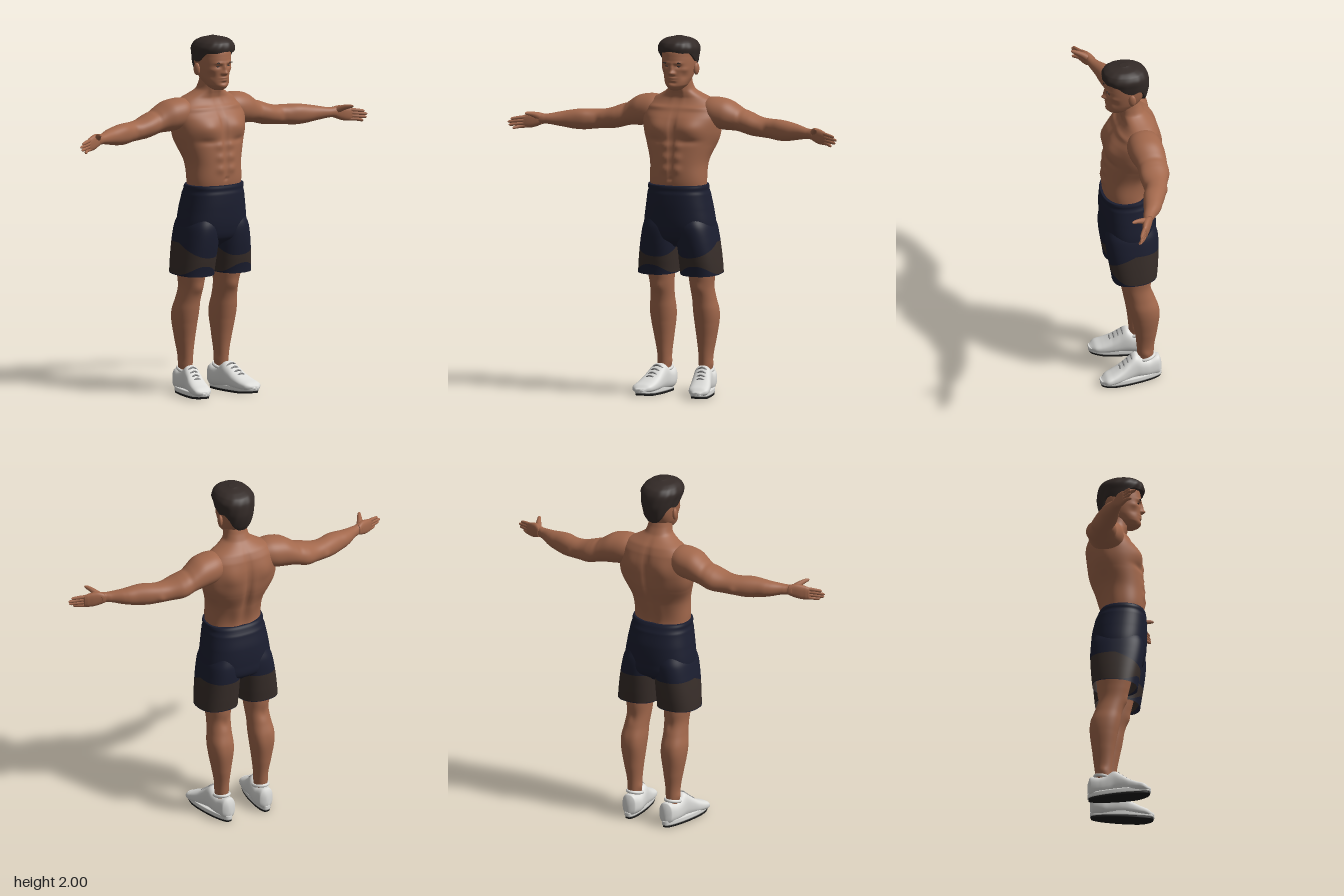
import * as THREE from 'three';

const mat = (name, color) => new THREE.MeshStandardMaterial({ name, color, side: THREE.DoubleSide });

// Value of a table of cross-sections [t, a0, a1, b0, b1] at t, smoothly interpolated
function at(rows, t) {
  let i = 0;
  while (i < rows.length - 2 && t > rows[i + 1][0]) i++;
  const b = rows[i], c = rows[i + 1], a = rows[i - 1] || b, d = rows[i + 2] || c;
  const k = THREE.MathUtils.clamp((t - b[0]) / (c[0] - b[0]), 0, 1);
  return b.map((_, j) => 0.5 * (2 * b[j] + (c[j] - a[j]) * k + (2 * a[j] - 5 * b[j] + 4 * c[j] - d[j]) * k * k
    + (3 * b[j] - a[j] - 3 * c[j] + d[j]) * k * k * k));
}
const sym = rows => rows.map(([t, a0, a1, h]) => [t, a0, a1, -h, h]);

// Superellipse point of a section at angle u
function ring(r, u, p = 2) {
  const f = v => Math.sign(v) * Math.abs(v) ** (2 / p);
  return [(r[1] + r[2]) / 2 + (r[2] - r[1]) / 2 * f(Math.cos(u)), (r[3] + r[4]) / 2 + (r[4] - r[3]) / 2 * f(Math.sin(u))];
}

// Closed-loop grid from f(u, v); always wound outwards
function grid(f, nu, nv, caps = true) {
  const pos = [], idx = [];
  for (let j = 0; j <= nv; j++) for (let i = 0; i < nu; i++) pos.push(...f(i / nu * Math.PI * 2, j / nv));
  for (let j = 0; j < nv; j++) for (let i = 0; i < nu; i++) {
    const a = j * nu + i, b = j * nu + (i + 1) % nu;
    idx.push(a, b, a + nu, b, b + nu, a + nu);
  }
  if (caps) for (const j of [0, nv]) {
    const c = [0, 0, 0], n = pos.length / 3;
    for (let i = 0; i < nu; i++) for (let k = 0; k < 3; k++) c[k] += pos[(j * nu + i) * 3 + k] / nu;
    pos.push(...c);
    for (let i = 0; i < nu; i++) {
      const a = j * nu + i, b = j * nu + (i + 1) % nu;
      idx.push(...(j ? [a, b, n] : [b, a, n]));
    }
  }
  const P = i => new THREE.Vector3().fromArray(pos, i * 3), mid = new THREE.Vector3();
  for (let i = 0; i < pos.length / 3; i++) mid.addScaledVector(P(i), 3 / pos.length);
  let vol = 0;
  for (let i = 0; i < idx.length; i += 3) {
    const [a, b, c] = [0, 1, 2].map(k => P(idx[i + k]).sub(mid));
    vol += a.dot(b.cross(c));
  }
  if (vol < 0) idx.reverse();
  const g = new THREE.BufferGeometry();
  g.setAttribute('position', new THREE.Float32BufferAttribute(pos, 3));
  g.setIndex(idx);
  g.computeVertexNormals();
  return g;
}

// Loft along one axis: 'y' gives (x, z) sections, 'z' gives (x, y), 'x' gives (y, z)
function loft(rows, axis, s = 1, p = 2, nu = 40, nv = 50) {
  const t0 = rows[0][0], t1 = rows[rows.length - 1][0];
  return grid((u, v) => {
    const t = t0 + (t1 - t0) * v, [a, b] = ring(at(rows, t), u, p);
    return axis === 'y' ? [a, t, s * b] : axis === 'z' ? [a, b, s * t] : [t, a, s * b];
  }, nu, nv);
}

// Muscle and face forms: soft bumps [x, y, z, rx, ry, rz, height] pushed along the normals
function sculpt(g, bumps, sides = [1, -1]) {
  const p = g.attributes.position, n = g.attributes.normal;
  const all = bumps.flatMap(b => (b[2] === 0 ? [1] : sides).map(s => [b[0], b[1], b[2] * s, ...b.slice(3)]));
  for (let i = 0; i < p.count; i++) {
    const q = [p.getX(i), p.getY(i), p.getZ(i)];
    let h = 0;
    for (const b of all) h += b[6] * Math.exp(-q.reduce((e, v, k) => e + ((v - b[k]) / b[k + 3]) ** 2, 0));
    p.setXYZ(i, q[0] + n.getX(i) * h, q[1] + n.getY(i) * h, q[2] + n.getZ(i) * h);
  }
  g.computeVertexNormals();
  return g;
}

// Round-ended tapering tube
function finger(pts, r0, r1, s) {
  const curve = new THREE.CatmullRomCurve3(pts.map(p => new THREE.Vector3(p[0], p[1], p[2] * s)));
  const n = 16, g = new THREE.TubeGeometry(curve, n, 1, 10), p = g.attributes.position, v = new THREE.Vector3();
  for (let i = 0; i < p.count; i++) {
    const k = Math.floor(i / 11) / n, c = curve.getPointAt(k);
    const r = (r0 + (r1 - r0) * k) * Math.sqrt(Math.max(0, 1 - Math.max(0, (k - 0.82) / 0.18) ** 2));
    v.fromBufferAttribute(p, i).sub(c).multiplyScalar(r).add(c);
    p.setXYZ(i, v.x, v.y, v.z);
  }
  return g;
}

export function createModel() {
  const skin = mat('skin', 0xa2684c), hairMat = mat('hair', 0x332a27), navy = mat('navy cloth', 0x1b1e30);
  const brown = mat('brown cloth', 0x372d29), white = mat('shoe white', 0xdcdcd9), grey = mat('shoe grey', 0x8c8c8c);
  const black = mat('sole black', 0x1c1c1c);
  const model = new THREE.Group();
  const add = (name, g, m) => {
    const o = new THREE.Mesh(g, m);
    o.name = name;
    model.add(o);
    return o;
  };
  const blob = (name, m, pos, scale) => {
    const o = add(name, new THREE.SphereGeometry(1, 20, 14), m);
    o.position.set(...pos);
    o.scale.set(...scale);
    return o;
  };

  // Torso and neck
  const torso = sym([[1.1, -0.11, 0.12, 0.155], [1.2, -0.1, 0.138, 0.16], [1.3, -0.125, 0.138, 0.163], [1.4, -0.165, 0.13, 0.19],
    [1.48, -0.178, 0.118, 0.213], [1.55, -0.178, 0.1, 0.222], [1.61, -0.165, 0.06, 0.21], [1.65, -0.145, 0.035, 0.165],
    [1.675, -0.12, 0.035, 0.115], [1.7, -0.095, 0.042, 0.077], [1.74, -0.075, 0.05, 0.065], [1.8, -0.06, 0.06, 0.062]]);
  const abs = [1.4, 1.335, 1.27].map(y => [0.14, y, 0.036, 0.05, 0.024, 0.024, 0.008]);
  add('torso', sculpt(loft(torso, 'y', 1, 2.25, 96, 110), [...abs,
    [0.1, 1.495, 0.09, 0.08, 0.05, 0.07, 0.024], [0.12, 1.425, 0.1, 0.06, 0.018, 0.06, -0.007],
    [0.13, 1.5, 0, 0.06, 0.09, 0.012, -0.012], [0.14, 1.32, 0, 0.05, 0.12, 0.008, -0.006],
    [0.15, 1.215, 0, 0.03, 0.009, 0.009, -0.008], [0.04, 1.6, 0.1, 0.05, 0.012, 0.08, 0.007],
    [-0.08, 1.43, 0.2, 0.08, 0.09, 0.05, 0.014], [-0.17, 1.4, 0, 0.06, 0.22, 0.018, -0.018],
    [-0.17, 1.53, 0.1, 0.05, 0.06, 0.05, 0.01], [-0.12, 1.25, 0.045, 0.05, 0.1, 0.03, 0.008],
    [0.05, 1.7, 0.03, 0.03, 0.06, 0.012, 0.006]]), skin);

  // Head
  const head = sym([[1.705, 0.02, 0.09, 0.028], [1.715, -0.01, 0.107, 0.042], [1.735, -0.035, 0.117, 0.06], [1.77, -0.07, 0.117, 0.075],
    [1.81, -0.095, 0.118, 0.084], [1.85, -0.108, 0.122, 0.089], [1.89, -0.11, 0.12, 0.09], [1.93, -0.1, 0.11, 0.088], [1.965, -0.06, 0.07, 0.06]]);
  add('head', sculpt(loft(head, 'y', 1, 2.2, 110, 80), [
    [0.12, 1.806, 0, 0.04, 0.014, 0.013, 0.024], [0.12, 1.832, 0, 0.04, 0.02, 0.009, 0.013],
    [0.11, 1.802, 0.014, 0.04, 0.009, 0.008, 0.006], [0.115, 1.841, 0.034, 0.04, 0.012, 0.018, -0.009],
    [0.12, 1.86, 0.03, 0.04, 0.009, 0.024, 0.005], [0.12, 1.776, 0, 0.04, 0.006, 0.022, 0.007],
    [0.12, 1.763, 0, 0.04, 0.006, 0.019, 0.006], [0.12, 1.748, 0, 0.04, 0.006, 0.02, -0.005],
    [0.12, 1.73, 0, 0.04, 0.012, 0.022, 0.005], [0.08, 1.785, 0.06, 0.03, 0.02, 0.02, -0.005],
    [0.085, 1.822, 0.062, 0.03, 0.014, 0.02, 0.004]]), skin);
  for (const s of [1, -1]) {
    blob('ear', skin, [-0.012, 1.818, s * 0.093], [0.021, 0.034, 0.013]).rotation.y = s * 0.3;
    blob('eye', hairMat, [0.103, 1.841, s * 0.034], [0.008, 0.004, 0.012]);
    blob('eyebrow', hairMat, [0.116, 1.861, s * 0.035], [0.006, 0.004, 0.02]).rotation.y = s * 0.3;
  }

  // Hair: a cap with a shaped hairline and lightly waved strands
  const hair = sym([[1.75, -0.085, 0.08, 0.075], [1.8, -0.108, 0.12, 0.09], [1.86, -0.122, 0.126, 0.098], [1.9, -0.122, 0.132, 0.106],
    [1.94, -0.115, 0.14, 0.112], [1.97, -0.095, 0.13, 0.096], [1.988, -0.055, 0.1, 0.07], [2, -0.01, 0.04, 0.02]]);
  const hairline = [1.925, 1.916, 1.91, 1.862, 1.865, 1.795, 1.772].map((y, i) => [i * Math.PI / 6, y]);
  add('hair', grid((u, v) => {
    const low = at(hairline, Math.min(u, Math.PI * 2 - u))[1];
    const k = Math.max(0, (v - 0.05) / 0.95), y = low + (2 - low) * Math.sin(k * Math.PI / 2);
    const [x, z] = ring(at(hair, y), u, 2.2), w = v === 0 ? 0.8 : 1 + 0.014 * Math.sin(u * 13 + y * 50) * (1 - k);
    return [0.01 + (x - 0.01) * w, y, z * w];
  }, 96, 40), hairMat);

  // Shorts trunk
  add('shortsTrunk', loft(sym([[0.83, -0.08, 0.06, 0.08], [0.88, -0.148, 0.125, 0.19], [0.95, -0.156, 0.146, 0.2], [1.05, -0.15, 0.153, 0.187],
    [1.13, -0.132, 0.153, 0.174], [1.15, -0.122, 0.149, 0.168], [1.165, -0.116, 0.15, 0.17], [1.18, -0.107, 0.147, 0.167]]), 'y', 1, 2.4, 64, 60), navy);

  const shortsLeg = [[0.67, -0.14, 0.108, 0.012, 0.24], [0.76, -0.148, 0.122, 0.006, 0.232], [0.87, -0.154, 0.138, 0, 0.216],
    [0.95, -0.15, 0.14, 0, 0.199], [1.02, -0.13, 0.12, 0.01, 0.17]];
  const leg = [[0.08, -0.12, -0.035, 0.09, 0.155], [0.15, -0.125, -0.035, 0.087, 0.158], [0.22, -0.13, -0.03, 0.083, 0.163],
    [0.3, -0.143, -0.02, 0.074, 0.178], [0.4, -0.153, -0.002, 0.063, 0.195], [0.47, -0.148, 0.012, 0.058, 0.199], [0.53, -0.13, 0.022, 0.059, 0.19],
    [0.6, -0.112, 0.042, 0.055, 0.184], [0.66, -0.115, 0.06, 0.05, 0.19], [0.75, -0.12, 0.08, 0.04, 0.2], [0.9, -0.125, 0.1, 0.03, 0.18]];
  const arm = [[0.1, -0.13, 0.01, 1.52, 1.645], [0.18, -0.155, 0.035, 1.49, 1.66], [0.25, -0.16, 0.03, 1.48, 1.647], [0.32, -0.16, 0.008, 1.475, 1.612],
    [0.4, -0.153, 0, 1.455, 1.58], [0.46, -0.136, 0, 1.45, 1.56], [0.52, -0.12, 0.005, 1.446, 1.555], [0.58, -0.1, 0.022, 1.44, 1.555],
    [0.64, -0.075, 0.034, 1.444, 1.55], [0.7, -0.05, 0.044, 1.455, 1.54], [0.78, 0.003, 0.063, 1.47, 1.526], [0.82, 0.022, 0.07, 1.465, 1.53]];
  const palm = [[0.8, 0.015, 0.065, 1.468, 1.527], [0.83, 0.028, 0.075, 1.456, 1.534], [0.86, 0.042, 0.084, 1.448, 1.53],
    [0.89, 0.058, 0.09, 1.447, 1.521], [0.905, 0.068, 0.092, 1.452, 1.513]];
  const shoe = [[-0.168, 0.03, 0.1, 0.105, 0.131], [-0.155, 0.02, 0.138, 0.078, 0.158], [-0.1, 0.015, 0.132, 0.068, 0.172], [-0.06, 0.015, 0.142, 0.072, 0.178],
    [-0.02, 0.015, 0.165, 0.077, 0.183], [0.02, 0.015, 0.138, 0.084, 0.194], [0.06, 0.015, 0.106, 0.09, 0.208], [0.11, 0.015, 0.08, 0.1, 0.22],
    [0.15, 0.018, 0.064, 0.115, 0.222], [0.183, 0.025, 0.042, 0.15, 0.19]];

  for (const s of [1, -1]) {
    // Shorts legs: navy above, brown band, navy insert at the front hem
    const hem = u => 0.682 - 0.008 * Math.cos(u);
    const front = u => Math.max(0, Math.cos(u));
    const low = u => hem(u) + 0.004 + 0.055 * front(u - 0.1) ** 3;
    const high = u => 0.86 - 0.065 * front(u) ** 0.8 - 0.015 * front(u) * (1 - Math.sin(u));
    const panel = (name, y0, y1, m) => add(name, grid((u, v) => {
      const y = y0(u) + (y1(u) - y0(u)) * v, [x, z] = ring(at(shortsLeg, y), u, 2.4);
      return [x, y, s * z];
    }, 64, 14, false), m);
    panel('shortsHemInsert', hem, low, navy);
    panel('shortsBand', low, high, brown);
    panel('shortsLeg', high, () => 1.0, navy);

    // Leg
    add('leg', sculpt(loft(leg, 'y', s, 2.1, 48, 80), [
      [0.045, 0.6, 0.118, 0.03, 0.03, 0.03, 0.008], [-0.14, 0.44, 0.09, 0.05, 0.07, 0.03, 0.007],
      [-0.14, 0.45, 0.16, 0.05, 0.07, 0.03, 0.006], [-0.08, 0.165, 0.16, 0.02, 0.02, 0.02, 0.006],
      [-0.08, 0.17, 0.085, 0.02, 0.02, 0.02, 0.006], [-0.11, 0.59, 0.12, 0.03, 0.03, 0.02, -0.006]], [s]), skin);

    // Arm
    add('arm', sculpt(loft(arm, 'z', s, 2.1, 48, 90), [
      [-0.06, 1.62, 0.27, 0.12, 0.06, 0.05, 0.007], [0, 1.53, 0.41, 0.04, 0.05, 0.05, 0.009],
      [-0.15, 1.5, 0.38, 0.04, 0.05, 0.05, 0.008], [-0.06, 1.58, 0.345, 0.1, 0.05, 0.016, -0.005],
      [0.01, 1.5, 0.5, 0.03, 0.05, 0.02, -0.006], [0.02, 1.54, 0.59, 0.05, 0.03, 0.05, 0.005],
      [-0.12, 1.49, 0.52, 0.03, 0.02, 0.02, 0.006]], [s]), skin);

    // Hand
    add('palm', loft(palm, 'z', s, 2.5, 28, 20), skin);
    [0.965, 0.982, 0.975, 0.95].forEach((tip, i) => {
      const y = 1.508 - i * 0.0165;
      add('finger', finger([[0.072, y, 0.88], [0.092, y - 0.004, 0.92], [0.112 + i * 0.003, y - 0.011, tip]], 0.0115, 0.008, s), skin);
    });
    add('thumb', finger([[0.045, 1.505, 0.815], [0.08, 1.523, 0.835], [0.112, 1.533, 0.85], [0.143, 1.538, 0.866]], 0.021, 0.008, s), skin);

    // Shoe: upper, midsole, dark outsole, collar and laces
    add('shoeUpper', loft(shoe, 'x', s, 2.5, 40, 60), white);
    const slab = (name, y0, y1, grow, m) => add(name, grid((u, v) => {
      const c = Math.cos(u), x = 0.007 + 0.175 * grow * c, r = at(shoe, x);
      const mid = 0.118 + 0.052 * (c + 1) / 2, w = (0.052 + 0.008 * c) * grow;
      const toe = 0.018 * Math.max(0, c - 0.6);
      return [x, y0 + (y1 - y0) * v + toe, s * (mid + w * Math.sign(Math.sin(u)) * Math.abs(Math.sin(u)) ** 0.75)];
    }, 48, 4), m);
    slab('shoeOutsole', 0, 0.012, 0.98, black);
    slab('shoeMidsole', 0.012, 0.038, 1.01, white);
    const collar = add('shoeCollar', new THREE.TorusGeometry(0.042, 0.009, 10, 32), white);
    collar.rotation.set(Math.PI / 2, -0.25, 0);
    collar.scale.set(1.15, 0.95, 1);
    collar.position.set(-0.08, 0.134, s * 0.122);
    for (let i = 0; i < 4; i++) {
      const x = i * 0.022, r = at(shoe, x), mid = (r[3] + r[4]) / 2;
      add('lace', finger([[x, r[2] - 0.016, mid - 0.034], [x + 0.004, r[2] + 0.002, mid], [x, r[2] - 0.016, mid + 0.034]], 0.005, 0.005, s), grey);
    }
  }
  return model;
}
